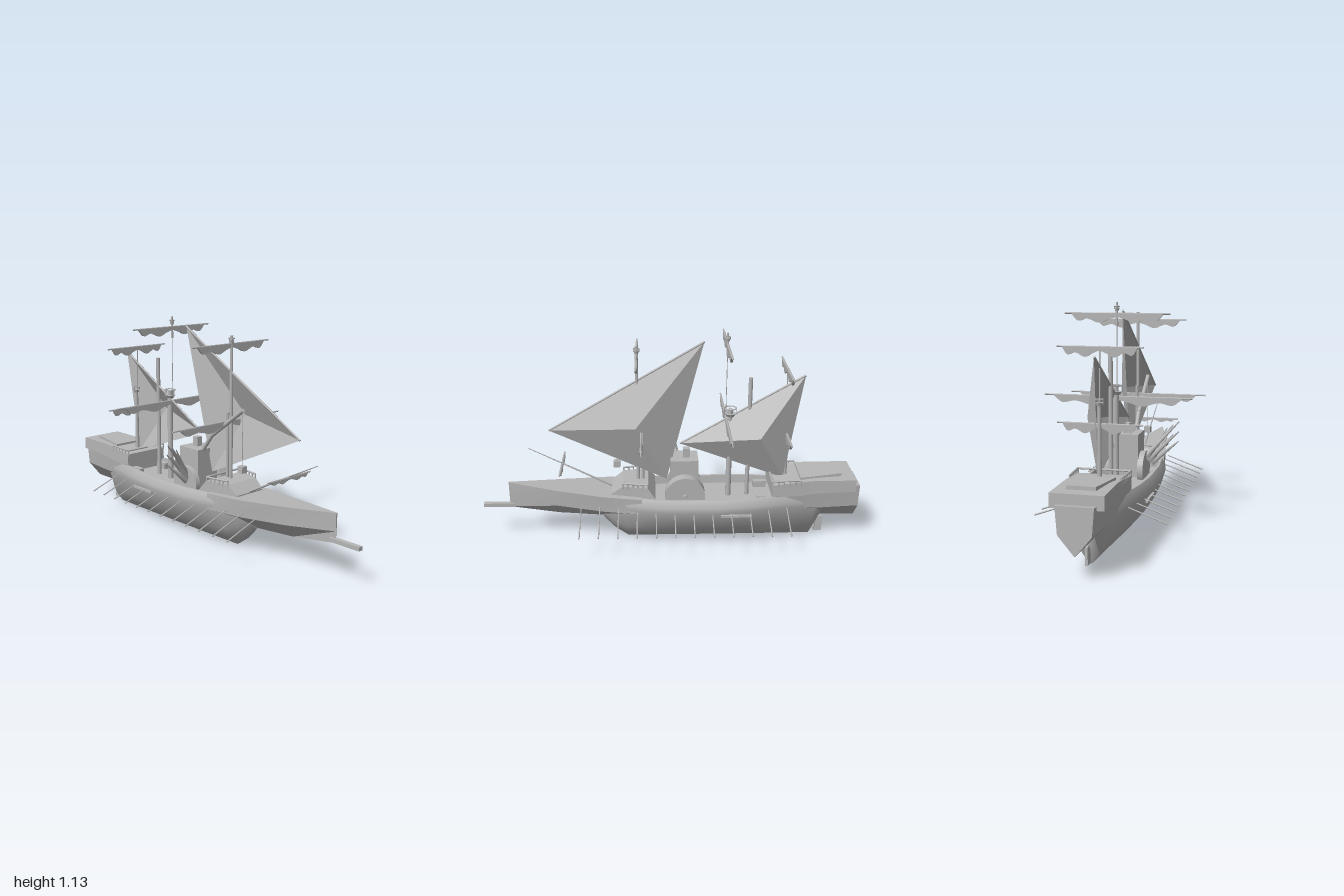
import * as THREE from 'three';
import { toCreasedNormals } from 'three/addons/utils/BufferGeometryUtils.js';

const grey = new THREE.MeshStandardMaterial({ color: 0xb6b6b6, side: THREE.DoubleSide });
grey.name = 'plain grey';
const V = (x, y, z) => new THREE.Vector3(x, y, z);

export function createModel() {
  const ship = new THREE.Group();
  ship.name = 'sailingShip';

  function add(name, geo, x = 0, y = 0, z = 0) {
    const m = new THREE.Mesh(geo, grey);
    m.name = name;
    m.position.set(x, y, z);
    ship.add(m);
    return m;
  }
  const box = (name, w, h, d, x, y, z) => add(name, new THREE.BoxGeometry(w, h, d), x, y, z);

  // round bar between two points
  function bar(name, a, b, r0, r1 = r0, sides = 10) {
    const m = add(name, new THREE.CylinderGeometry(r1, r0, a.distanceTo(b), sides));
    m.position.copy(a).add(b).multiplyScalar(0.5);
    m.quaternion.setFromUnitVectors(V(0, 1, 0), b.clone().sub(a).normalize());
    return m;
  }

  // skin over mirrored half sections; each station is [x, [[z, y], ...]] from keel to deck centre
  function loft(name, stations, crease) {
    const pos = [], idx = [];
    const n = stations[0][1].length * 2 - 2;
    for (const [x, half] of stations) {
      const port = half.slice(1, -1).reverse().map(([z, y]) => [-z, y]);
      for (const [z, y] of [...half, ...port]) pos.push(x, y, z);
    }
    const last = (stations.length - 1) * n;
    for (let i = 0; i < stations.length - 1; i++) for (let j = 0; j < n; j++) {
      const a = i * n + j, b = i * n + (j + 1) % n;
      idx.push(a, a + n, b + n, a, b + n, b);
    }
    for (let j = 1; j < n - 1; j++) idx.push(0, j, j + 1, last, last + j + 1, last + j);
    const g = new THREE.BufferGeometry();
    g.setAttribute('position', new THREE.Float32BufferAttribute(pos, 3));
    g.setIndex(idx);
    return add(name, toCreasedNormals(g, crease));
  }

  // rounded main hull with a sunken deck: x, half width, bottom, top
  const section = [[0, 0], [0.06, 0], [0.45, 0.17], [0.7, 0.35], [0.9, 0.6], [0.99, 0.77], [1, 0.87],
    [0.88, 1], [0.81, 1], [0.79, 0.84], [0, 0.84]];
  const hull = [[-0.81, 0.07, 0.11, 0.25], [-0.76, 0.09, 0, 0.265], [-0.6, 0.137, 0, 0.285], [-0.42, 0.17, 0, 0.285],
    [-0.25, 0.181, 0, 0.28], [0, 0.176, 0, 0.28], [0.13, 0.162, 0, 0.285], [0.23, 0.135, 0, 0.285],
    [0.3, 0.105, 0.05, 0.27], [0.36, 0.06, 0.115, 0.25]];
  loft('mainHull', hull.map(([x, w, b, t]) => [x, section.map(([z, y]) => [z * w, b + y * (t - b)])]), 0.7);

  // angular bow and stern: x, keel y, knuckle z, knuckle y, edge z, edge y
  const angular = ([x, kb, kz, ky, ez, ey]) => [x, [[0, kb], [kz, ky], [ez, ey], [0, ey]]];
  loft('bow', [[0.15, 0.12, 0.15, 0.2, 0.148, 0.285], [0.35, 0.12, 0.112, 0.2, 0.122, 0.29],
    [0.6, 0.14, 0.062, 0.213, 0.07, 0.305], [0.86, 0.18, 0.003, 0.237, 0.004, 0.325]].map(angular), 0.3);
  loft('stern', [[-1, 0.11, 0.075, 0.2, 0.085, 0.325], [-0.8, 0.11, 0.093, 0.2, 0.105, 0.31],
    [-0.55, 0.13, 0.12, 0.21, 0.13, 0.29]].map(angular), 0.3);
  box('bowBeam', 0.17, 0.02, 0.025, 0.915, 0.193, 0);

  // raised stern deck with a low hatch
  const slab = (x, w, b, t) => [x, [[0, b], [w, b], [w, t], [0, t]]];
  loft('sternDeck', [slab(-0.97, 0.12, 0.305, 0.37), slab(-0.75, 0.12, 0.295, 0.37),
    slab(-0.68, 0.122, 0.285, 0.365), slab(-0.53, 0.13, 0.28, 0.35)], 0.3);
  loft('sternHatch', [slab(-0.9, 0.065, 0.365, 0.387), slab(-0.68, 0.095, 0.36, 0.377)], 0.3);

  // forward deckhouse, tapering upward
  loft('foreHouse', [slab(0.08, 0.14, 0.25, 0.285), slab(0.12, 0.125, 0.25, 0.34),
    slab(0.25, 0.1, 0.25, 0.34), slab(0.31, 0.09, 0.25, 0.295)], 0.3);

  // rudder
  box('rudder', 0.045, 0.085, 0.012, -0.808, 0.055, 0);
  bar('rudderPost', V(-0.785, 0.02, 0), V(-0.8, 0.13, 0), 0.008);

  for (const s of [-1, 1]) {
    // railings round the two raised decks
    for (const [x0, x1, y, z0, z1] of [[-0.68, -0.53, 0.35, 0.12, 0.127], [0.12, 0.25, 0.335, 0.122, 0.098]]) {
      bar('rail', V(x0, y + 0.023, s * z0), V(x1, y + 0.023, s * z1), 0.005);
      for (let i = 0; i <= 5; i++) {
        const t = i / 5, x = x0 + (x1 - x0) * t, z = s * (z0 + (z1 - z0) * t);
        bar('railPost', V(x, y - 0.01, z), V(x, y + 0.023, z), 0.004, 0.004, 6);
      }
    }
    // oars
    for (let i = 0; i < 12; i++) {
      const x = -0.61 + i * 0.0982;
      bar('oar', V(x, 0.23, s * 0.11), V(x, 0.157, s * 0.315), 0.003, 0.004, 6);
    }
    // side plates and deck chests
    box('sidePlate', 0.16, 0.012, 0.012, -0.34, 0.2, s * 0.178);
    box('deckChest', 0.07, 0.04, 0.03, -0.49, 0.255, s * 0.09);
  }
  for (const [x, y, z] of [[-0.53, 0.372, 0.127], [0.12, 0.358, 0.122]]) bar('crossRail', V(x, y, -z), V(x, y, z), 0.005);

  // masts, thin topmasts and lookout platforms
  bar('foreMast', V(0.17, 0.28, 0), V(0.17, 1.07, 0), 0.01, 0.008);
  bar('foreMastBrace', V(0.145, 0.28, 0), V(0.145, 0.68, 0), 0.008);
  bar('midMast', V(-0.41, 0.23, 0), V(-0.41, 0.9, 0), 0.011);
  bar('mainMast', V(-0.31, 0.23, 0), V(-0.31, 0.73, 0), 0.015, 0.014);
  bar('mainTopmast', V(-0.287, 0.7, 0), V(-0.287, 1.02, 0), 0.002, 0.002, 5);
  bar('mainTopmastHead', V(-0.287, 1.02, 0), V(-0.287, 1.135, 0), 0.007, 0.005);
  bar('aftMast', V(-0.61, 0.34, 0), V(-0.61, 0.7, 0), 0.011, 0.009);
  bar('aftTopmast', V(-0.6, 0.69, 0), V(-0.595, 0.95, 0), 0.003, 0.003, 5);
  for (const [x, y, r] of [[-0.31, 0.7, 0.03], [-0.61, 0.69, 0.018], [0.17, 1.04, 0.014], [-0.287, 1.1, 0.012]]) {
    add('lookout', new THREE.CylinderGeometry(r, r * 0.7, 0.015, 12), x, y, 0);
    add('lookoutRim', new THREE.TorusGeometry(r, 0.003, 6, 16).rotateX(Math.PI / 2), x, y + r * 1.2, 0);
    for (let k = 0; k < 4; k++) {
      const px = x + r * Math.cos(k * Math.PI / 2), pz = r * Math.sin(k * Math.PI / 2);
      bar('lookoutPost', V(px, y, pz), V(px, y + r * 1.2, pz), 0.002, 0.002, 5);
    }
  }

  // yards with furled, scalloped sails: x, y, half length
  for (const [x, y, L] of [[-0.287, 1.08, 0.26], [0.17, 1.03, 0.26], [-0.597, 0.945, 0.2],
    [-0.29, 0.68, 0.37], [0.15, 0.635, 0.37], [-0.605, 0.6, 0.2], [0.57, 0.43, 0.15]]) {
    bar('yard', V(x, y, -L), V(x, y, L), 0.004, 0.004, 8);
    const edge = [[0.86, -0.005], [0.74, -0.036], [0.56, -0.026], [0.34, -0.045], [0.16, -0.028]];
    const k = L < 0.18 ? 0.5 : 1;
    const low = [...edge, [0, -0.018], ...edge.slice().reverse().map(([u, v]) => [-u, v])];
    const shape = new THREE.Shape();
    shape.moveTo(L * 0.86, 0);
    shape.lineTo(L * 0.86, -0.005 * k);
    shape.splineThru(low.slice(1).map(([u, v]) => new THREE.Vector2(u * L, v * k)));
    shape.lineTo(-L * 0.86, 0);
    const g = new THREE.ExtrudeGeometry(shape, { depth: 0.012, bevelEnabled: false, curveSegments: 30 });
    add('furledSail', g.rotateY(-Math.PI / 2), x + 0.006, y, 0);
  }

  // great three-cornered sails bellied to one side: peak, tip, foot, belly
  for (const [a, b, c, m] of [
    [V(-0.17, 1.09, 0), V(0.63, 0.62, 0), V(0.02, 0.34, -0.01), V(0.18, 0.66, -0.092)],
    [V(-0.69, 0.91, 0), V(-0.05, 0.54, 0), V(-0.6, 0.34, -0.01), V(-0.46, 0.6, -0.1)]]) {
    const g = new THREE.BufferGeometry().setFromPoints([a, b, m, b, c, m, c, a, m]);
    g.computeVertexNormals();
    add('greatSail', g);
    bar('sailSpar', a, b, 0.006, 0.005, 8);
  }

  // sloping forward spar
  bar('forwardSpar', V(0.31, 0.3, 0), V(0.74, 0.52, 0), 0.006, 0.002, 8);

  // winch house and wheel drum
  box('winchHouse', 0.145, 0.22, 0.135, -0.073, 0.355, 0.005);
  box('winchCap', 0.035, 0.05, 0.035, -0.085, 0.49, 0);
  add('wheelDrum', new THREE.CylinderGeometry(0.105, 0.105, 0.055, 28).rotateX(Math.PI / 2), -0.075, 0.285, -0.09);
  add('wheelHub', new THREE.CylinderGeometry(0.014, 0.014, 0.02, 12).rotateX(Math.PI / 2), -0.075, 0.285, -0.122);
  add('frontDrum', new THREE.CylinderGeometry(0.09, 0.09, 0.03, 28).rotateX(Math.PI / 2), -0.075, 0.28, 0.085);

  // crane boom with hanging load
  bar('craneFoot', V(-0.04, 0.42, 0.03), V(0.06, 0.55, 0.03), 0.011);
  bar('craneBoom', V(0.06, 0.55, 0.03), V(0.285, 0.715, 0.03), 0.011);
  bar('craneRope', V(0.283, 0.71, 0.03), V(0.283, 0.42, 0.03), 0.002, 0.002, 5);
  box('craneLoad', 0.034, 0.034, 0.034, 0.283, 0.415, 0.03);

  // sheaf of pointed blades leaning over the side
  for (let i = 0; i < 7; i++) {
    const t = i / 6;
    const blade = bar('sheafBlade', V(-0.065 + 0.025 * t, 0.3 + 0.035 * (1 - t), 0.09 + 0.03 * t),
      V(-0.02 - 0.015 * t, 0.52 - 0.1 * t, 0.26 - 0.03 * (i % 3)), 0.014, 0.003, 6);
    blade.scale.x = 0.6;
  }
  return ship;
}
